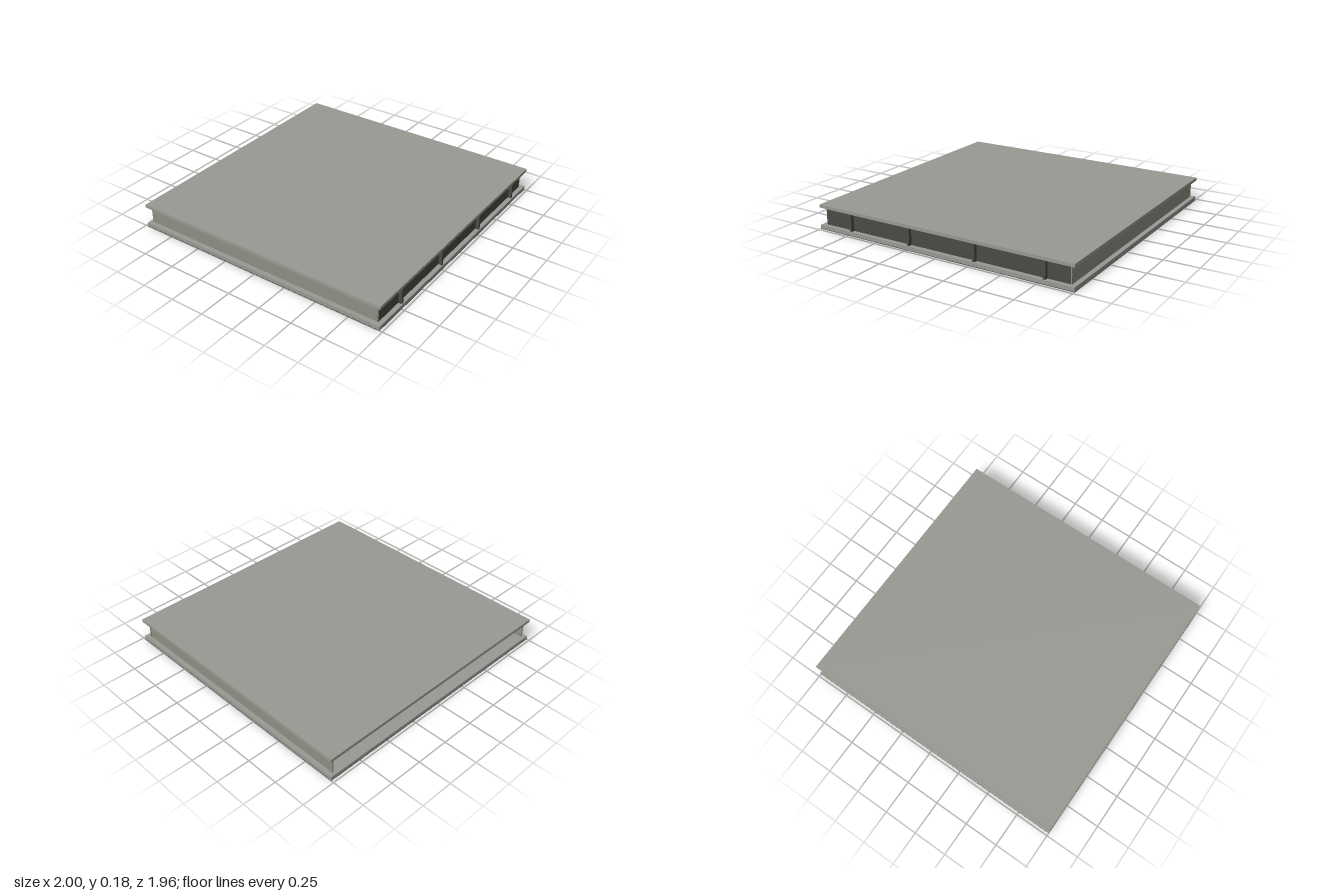
import * as THREE from 'three';

const HALF_Z = 0.98;

export function createModel() {
  const group = new THREE.Group();
  const plateMat = new THREE.MeshStandardMaterial({ color: 0x9a9892 });
  const wallMat = new THREE.MeshStandardMaterial({ color: 0x8f8e84 });
  const darkMat = new THREE.MeshStandardMaterial({ color: 0x4a4943 });
  const underMat = new THREE.MeshStandardMaterial({ color: 0x2a2824 });

  // Box given by its lower and upper corners
  const slab = (name, mat, [x0, y0, z0], [x1, y1, z1]) => {
    const mesh = new THREE.Mesh(new THREE.BoxGeometry(x1 - x0, y1 - y0, z1 - z0), mat);
    mesh.position.set((x0 + x1) / 2, (y0 + y1) / 2, (z0 + z1) / 2);
    mesh.name = name;
    group.add(mesh);
  };

  // Overhanging floor plates
  slab('topPlate', plateMat, [-1, 0.157, -HALF_Z], [1, 0.18, HALF_Z]);
  slab('bottomPlate', plateMat, [-1, 0.003, -HALF_Z], [1, 0.03, HALF_Z]);
  slab('underside', underMat, [-1, 0, -HALF_Z], [1, 0.003, HALF_Z]);

  // Recessed side walls; the back stays open
  for (const side of [-1, 1]) {
    const a = side * 0.967, b = side * 0.959;
    slab(side > 0 ? 'leftWall' : 'rightWall', wallMat,
      [Math.min(a, b), 0.03, -0.957], [Math.max(a, b), 0.157, 0.948]);
  }

  // Recessed front wall with upright ribs
  slab('frontWall', darkMat, [-0.967, 0.03, 0.94], [0.967, 0.157, 0.948]);
  for (const x of [-0.73, -0.235, 0.28, 0.79]) {
    slab('frontRib', darkMat, [x - 0.009, 0.03, 0.948], [x + 0.009, 0.157, 0.973]);
  }

  return group;
}
